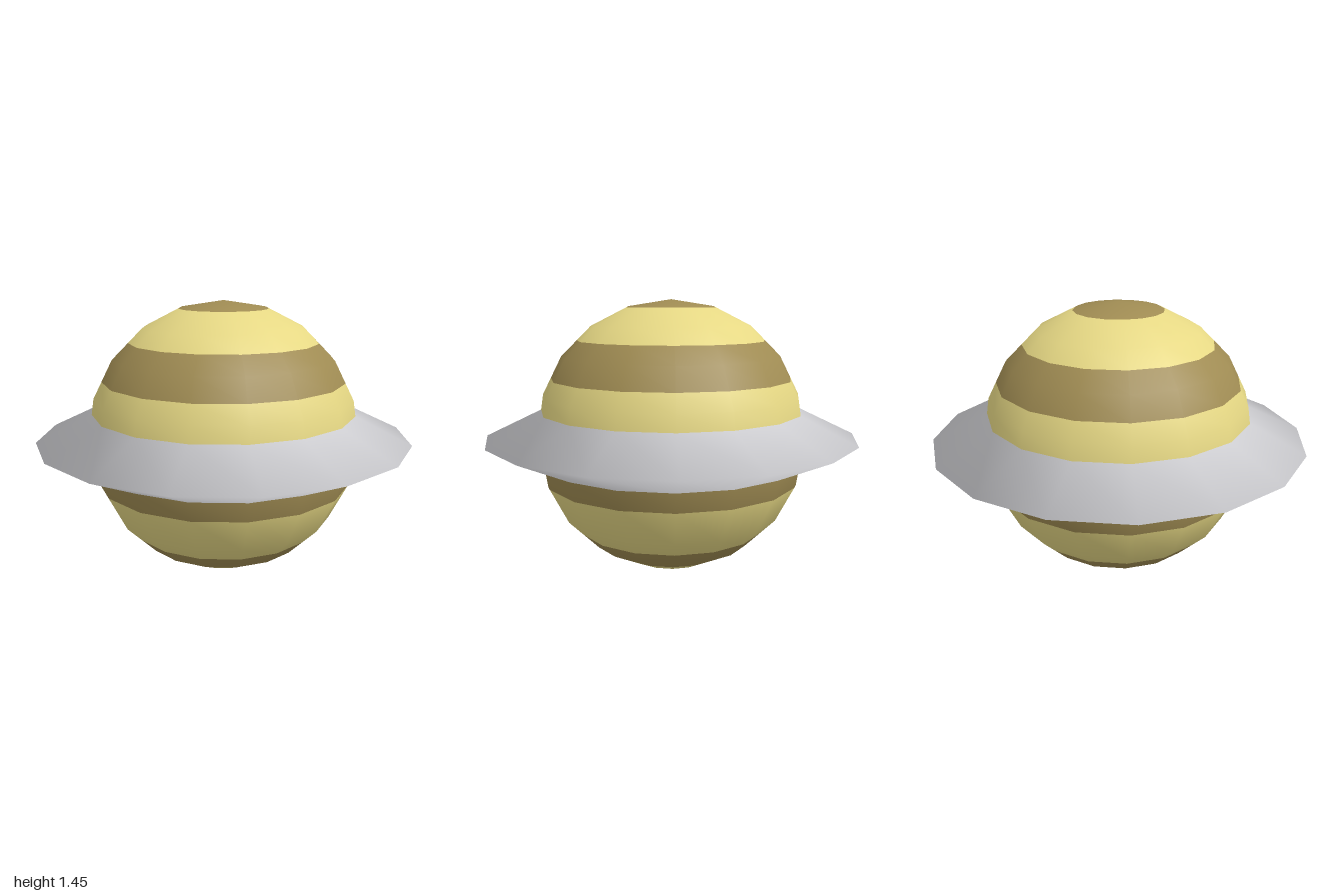
import * as THREE from 'three';

const R = 0.727, SIDES = 16, ROWS = 10;

// Rows of the faceted globe, from bottom to top
const rows = Array.from({ length: ROWS + 1 }, (_, i) => {
  const a = (i / ROWS) * Math.PI;
  return new THREE.Vector2(R * Math.sin(a), R - R * Math.cos(a));
});

// Point on the faceted globe's profile at height y
function profileAt(y) {
  const i = Math.max(1, rows.findIndex((p) => p.y >= y - 1e-6));
  const a = rows[i - 1], b = rows[i];
  const t = (y - a.y) / (b.y - a.y);
  return new THREE.Vector2(Math.max(0, a.x + (b.x - a.x) * t), y);
}

// Turned surface with rounded normals; `flatten` pulls points back to the globe for shading
function turned(points, flatten = false) {
  const g = new THREE.LatheGeometry(points, SIDES);
  const p = g.attributes.position, n = g.attributes.normal, v = new THREE.Vector3();
  for (let i = 0; i < p.count; i++) {
    v.set(p.getX(i), p.getY(i) - R, p.getZ(i));
    if (flatten) {
      const r = profileAt(p.getY(i)).x / Math.hypot(v.x, v.z);
      v.x *= r;
      v.z *= r;
    }
    v.normalize();
    n.setXYZ(i, v.x, v.y, v.z);
  }
  return g;
}

export function createModel() {
  const yellow = new THREE.MeshStandardMaterial({ color: 0xe6d884 });
  yellow.name = 'pale yellow';
  const brown = new THREE.MeshStandardMaterial({ color: 0xa08c53 });
  brown.name = 'dusty brown';
  const grey = new THREE.MeshStandardMaterial({ color: 0xe0e0e4 });
  grey.name = 'light grey';

  const model = new THREE.Group();
  model.name = 'ringedPlanet';
  const add = (name, geometry, material) => {
    const mesh = new THREE.Mesh(geometry, material);
    mesh.name = name;
    model.add(mesh);
  };

  // Globe bands: name, lower height, upper height, colour
  const bands = [
    ['southCap', 0, 0.08, yellow],
    ['southDarkBand', 0.08, 0.22, brown],
    ['southPaleBand', 0.22, 0.49, yellow],
    ['underRingBand', 0.49, 0.592, brown],
    ['overRingBand', 0.868, 1.04, yellow],
    ['northDarkBand', 1.04, 1.24, brown],
    ['northPaleBand', 1.24, 1.412, yellow],
    ['northCap', 1.412, 2 * R, brown],
  ];
  for (const [name, low, high, material] of bands) {
    const inner = rows.filter((p) => p.y > low + 1e-4 && p.y < high - 1e-4);
    add(name, turned([profileAt(low), ...inner, profileAt(high)]), material);
  }

  // Ring: the equator drawn out to a sharp edge
  const ring = [profileAt(0.592), new THREE.Vector2(1, R), profileAt(0.868)];
  add('ring', turned(ring, true), grey);

  return model;
}
